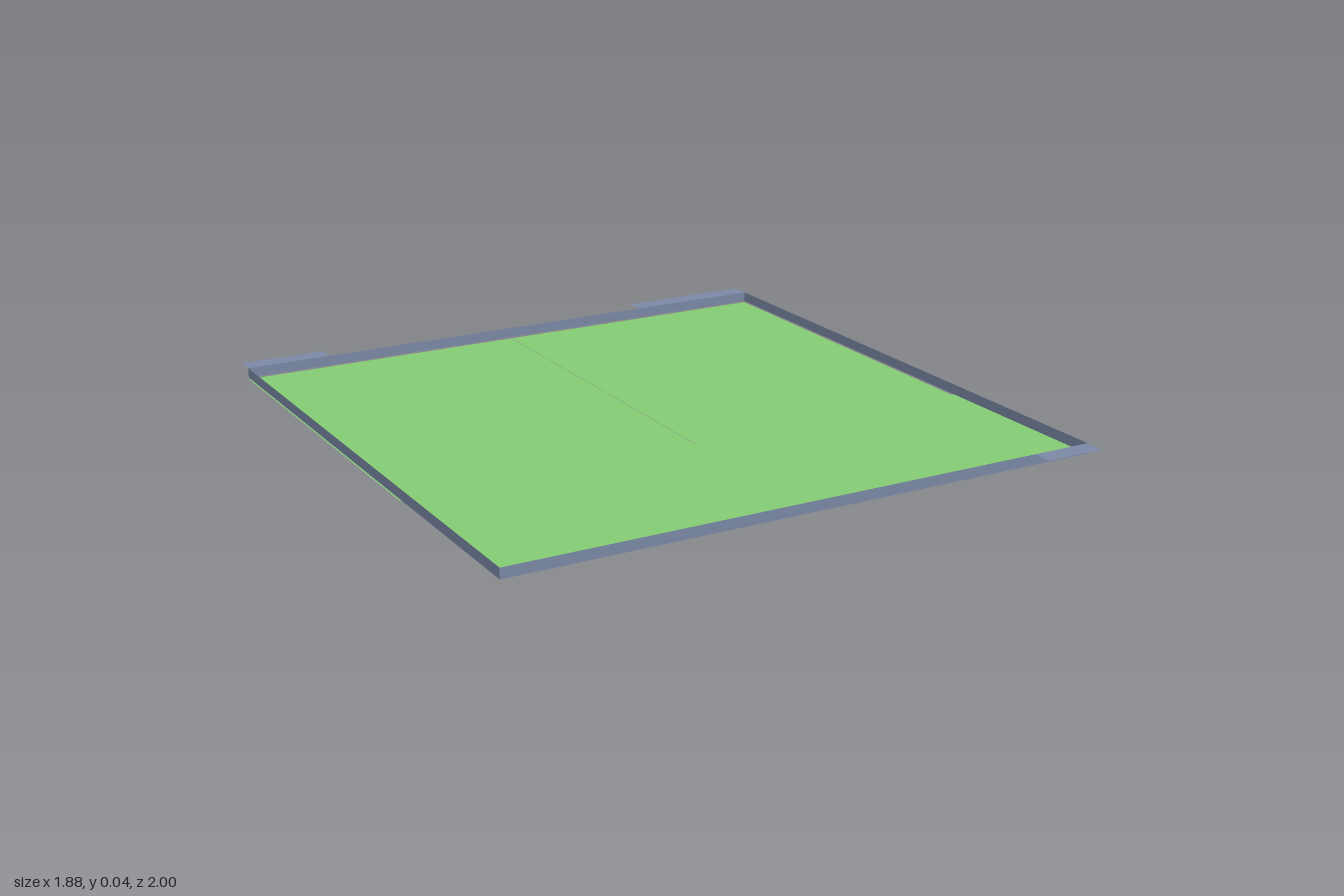
import * as THREE from 'three';

const HALF = 0.938;      // half width of the square field
const SPLIT = 0.31;      // z of the line between front and back zones
const WALL_LOW = 0.005;
const WALL_TOP = 0.037;

export function createModel() {
  const model = new THREE.Group();
  const green = new THREE.MeshStandardMaterial({ color: 0x84cc74, side: THREE.DoubleSide });
  const slate = new THREE.MeshStandardMaterial({ color: 0x7b88a6, side: THREE.DoubleSide });

  // Horizontal sheet spanning x0..x1 and z0..z1 at height y
  function sheet(name, material, x0, x1, z0, z1, y) {
    const geometry = new THREE.PlaneGeometry(x1 - x0, z1 - z0).rotateX(-Math.PI / 2);
    const mesh = new THREE.Mesh(geometry, material);
    mesh.name = name;
    mesh.position.set((x0 + x1) / 2, y, (z0 + z1) / 2);
    model.add(mesh);
  }

  // Floor zones: two at the back, one across the front, slightly higher
  const gap = 0.001;
  sheet('backRightFloor', green, -HALF, -gap, -HALF, SPLIT - gap, 0);
  sheet('backLeftFloor', green, gap, HALF, -HALF, SPLIT - gap, 0);
  sheet('frontFloor', green, -HALF, HALF, SPLIT + gap, HALF, 0.005);

  // Low thin walls around the field
  ['frontWall', 'leftWall', 'backWall', 'rightWall'].forEach((name, i) => {
    const geometry = new THREE.PlaneGeometry(2 * HALF, WALL_TOP - WALL_LOW);
    geometry.translate(0, (WALL_LOW + WALL_TOP) / 2, HALF).rotateY(i * Math.PI / 2);
    const wall = new THREE.Mesh(geometry, slate);
    wall.name = name;
    model.add(wall);
  });

  // Blank sign plates level with the wall tops
  sheet('backRightSign', slate, -HALF, -0.66, -1, -HALF, WALL_TOP);
  sheet('backLeftSign', slate, 0.5, HALF, -1, -HALF, WALL_TOP);
  sheet('frontLeftSign', slate, 0.745, HALF, HALF, 1, WALL_TOP);

  return model;
}
